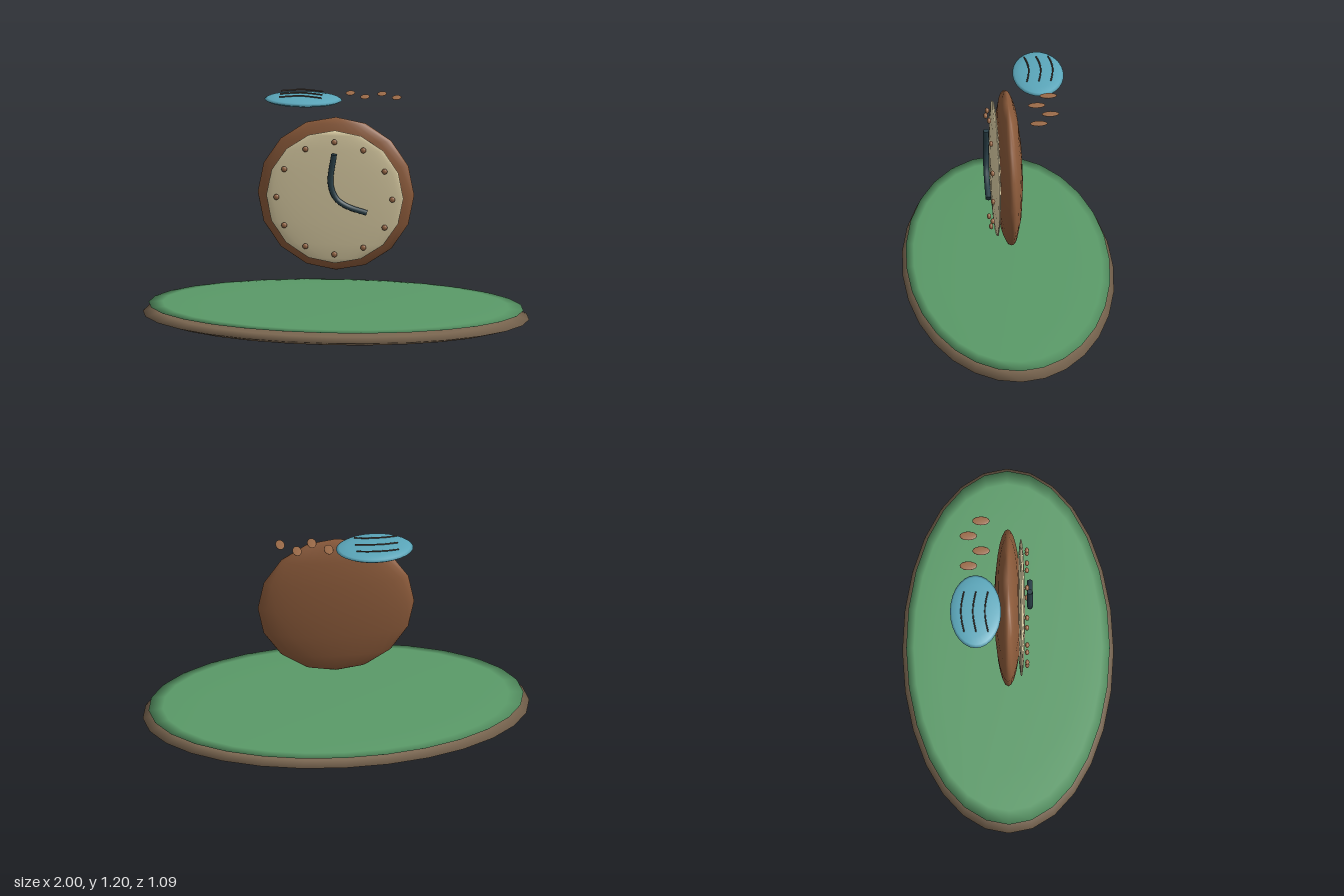
import * as THREE from 'three';

const mat = (color) => new THREE.MeshStandardMaterial({ color, side: THREE.DoubleSide });
const wood = mat(0x8b5a3a), earth = mat(0x7a6650), grass = mat(0x5a9a68), cream = mat(0xe0d2a8);
const teal = mat(0x5ba7bb), dark = mat(0x2a4048), stud = mat(0x9a6a48), bark = mat(0x5a4a40);

export function createModel() {
  const model = new THREE.Group();

  const add = (name, geometry, material) => {
    const mesh = new THREE.Mesh(geometry, material);
    mesh.name = name;
    model.add(mesh);
    return mesh;
  };

  // Squashed sphere with its poles on y
  const ellipsoid = (name, material, half, pos, w = 28, h = 8) => {
    const mesh = add(name, new THREE.SphereGeometry(1, w, h), material);
    mesh.scale.set(...half);
    mesh.position.set(...pos);
  };

  // Round rod along a smooth curve, closed by discs at both ends
  const rod = (name, material, points, radius, sides) => {
    const curve = new THREE.CatmullRomCurve3(points.map((p) => new THREE.Vector3(...p)));
    add(name, new THREE.TubeGeometry(curve, 20, radius, sides), material);
    for (const t of [0, 1]) {
      const cap = add(name + 'Cap', new THREE.CircleGeometry(radius, sides), material);
      const dir = curve.getTangent(t).multiplyScalar(t ? 1 : -1);
      cap.position.copy(curve.getPoint(t));
      cap.quaternion.setFromUnitVectors(new THREE.Vector3(0, 0, 1), dir);
    }
  };

  // Oval island: earth below, grass on top
  ellipsoid('islandBase', earth, [1, 0.057, 0.545], [0, 0.057, 0]);
  ellipsoid('islandGrass', grass, [0.97, 0.017, 0.525], [0, 0.105, 0]);

  // Clock body and dial
  const cy = 0.708;
  ellipsoid('clockBody', wood, [0.405, 0.408, 0.072], [0, cy, 0]);
  ellipsoid('clockFace', cream, [0.355, 0.355, 0.02], [0, cy, 0.068]);

  // Hour studs
  for (let i = 0; i < 12; i++) {
    const a = (i * Math.PI) / 6;
    ellipsoid('hourStud', stud, [0.015, 0.015, 0.011],
      [0.3 * Math.sin(a), cy + 0.3 * Math.cos(a), 0.098], 12, 8);
  }

  // Bent clock hands
  rod('clockHands', dark, [
    [0, 0.947, 0.113], [-0.018, 0.79, 0.113], [0.012, 0.71, 0.113],
    [0.07, 0.67, 0.113], [0.17, 0.638, 0.113],
  ], 0.015, 8);

  // Floating oval disc with three curved stripes
  ellipsoid('floatingDisc', teal, [0.2, 0.024, 0.132], [-0.185, 1.16, -0.168]);
  for (const z of [-0.228, -0.166, -0.104]) {
    rod('discStripe', bark, [
      [-0.305, 1.187, z], [-0.245, 1.19, z - 0.012], [-0.195, 1.192, z - 0.016],
      [-0.145, 1.19, z - 0.012], [-0.085, 1.187, z],
    ], 0.004, 6);
  }

  // Trail of flat oval prints
  for (let i = 0; i < 4; i++) {
    ellipsoid('print', stud, [0.024, 0.004, 0.045],
      [0.056 + i * 0.082, 1.19, i % 2 ? -0.138 : -0.204], 16, 8);
  }

  return model;
}
